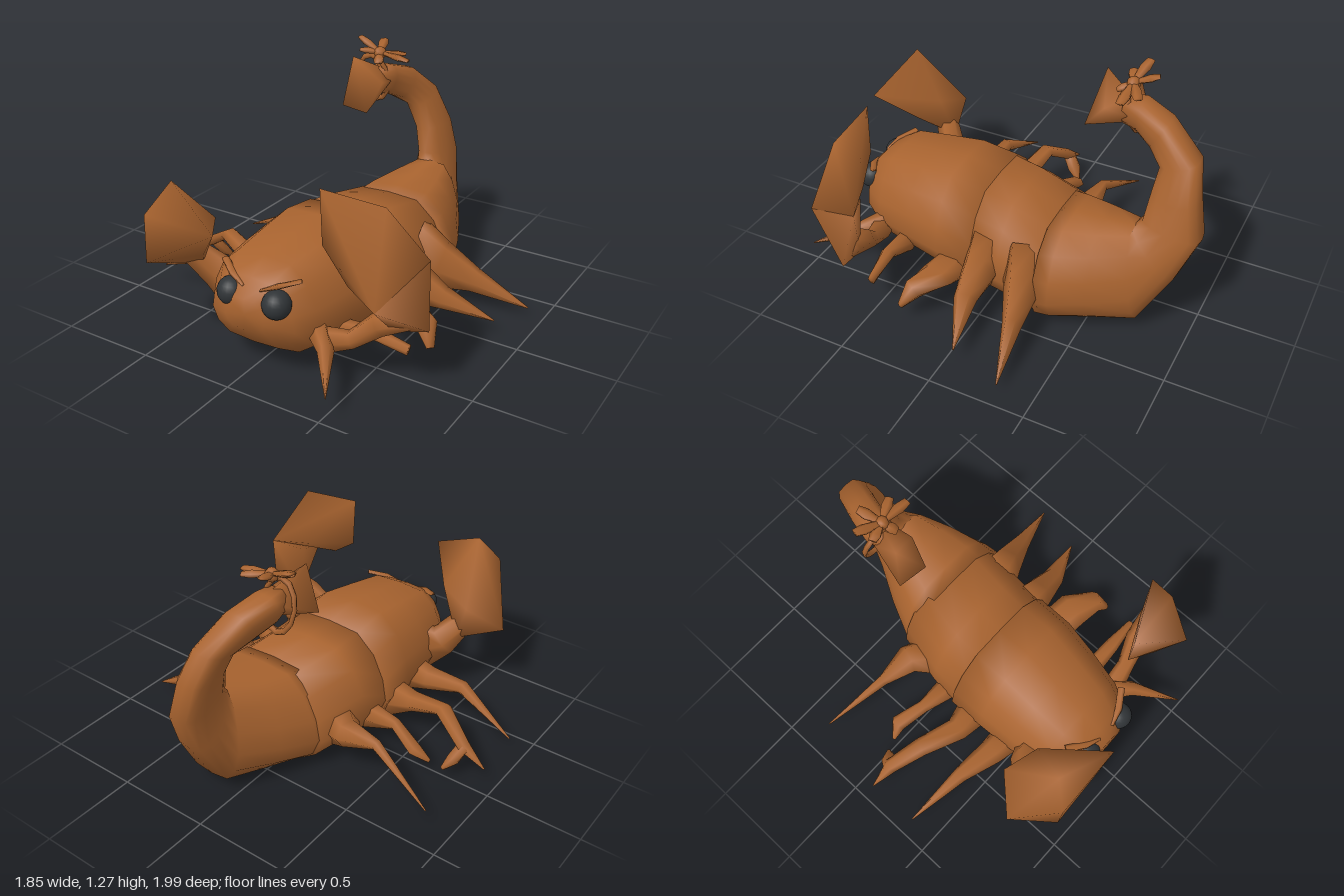
import * as THREE from 'three';
import { mergeVertices } from 'three/addons/utils/BufferGeometryUtils.js';
import { ConvexGeometry } from 'three/addons/geometries/ConvexGeometry.js';

const V = (a) => new THREE.Vector3(...a);

// Skin a closed surface over rings { p, side, up, w, h }; profile runs counter-clockwise
function loft(rings, profile) {
  const n = profile.length, pos = [], idx = [];
  for (const r of rings)
    for (const [u, v] of profile)
      pos.push(...r.p.clone().addScaledVector(r.side, u * r.w).addScaledVector(r.up, v * r.h).toArray());
  for (let i = 0; i < rings.length - 1; i++)
    for (let j = 0; j < n; j++) {
      const a = i * n + j, b = i * n + (j + 1) % n, c = a + n, d = b + n;
      idx.push(a, c, b, b, c, d);
    }
  const last = rings.length - 1, s = rings.length * n;
  pos.push(...rings[0].p.toArray(), ...rings[last].p.toArray());
  for (let j = 0; j < n; j++) {
    const k = (j + 1) % n;
    idx.push(s, j, k, s + 1, last * n + k, last * n + j);
  }
  const g = new THREE.BufferGeometry();
  g.setAttribute('position', new THREE.Float32BufferAttribute(pos, 3));
  g.setIndex(idx);
  g.computeVertexNormals();
  return g;
}

const circle = (n) => Array.from({ length: n }, (_, i) => [Math.cos(i / n * Math.PI * 2), Math.sin(i / n * Math.PI * 2)]);

// Shell outline: narrow flat top, widest below the middle
const half = [[0.6, -0.95], [0.88, -0.68], [1, -0.3], [0.94, 0.15], [0.77, 0.62], [0.48, 0.96]];
const shellProfile = [...half, [0, 1], ...half.slice().reverse().map(([u, v]) => [-u, v]), [0, -1]];

// Upright body section from left, right, bottom and top limits
const section = ([z, x0, x1, y0, y1]) => ({
  p: V([(x0 + x1) / 2, (y0 + y1) / 2, z]), side: V([1, 0, 0]), up: V([0, 1, 0]), w: (x1 - x0) / 2, h: (y1 - y0) / 2,
});

// Section that turns with the tail, tilt in degrees
const tilted = ([x, y, z, w, h, deg]) => {
  const a = deg * Math.PI / 180;
  return { p: V([x, y, z]), side: V([1, 0, 0]), up: V([0, Math.cos(a), Math.sin(a)]), w, h };
};

// Tapered limb along points [x, y, z, halfWidth, halfHeight]
function limb(points, sides = 6) {
  const ps = points.map((q) => V(q.slice(0, 3)));
  const rings = points.map((q, i) => {
    const t = ps[Math.min(i + 1, ps.length - 1)].clone().sub(ps[Math.max(i - 1, 0)]).normalize();
    const side = t.clone().cross(V([0, 1, 0])).normalize();
    return { p: ps[i], side, up: side.clone().cross(t), w: q[3], h: q[4] };
  });
  return loft(rings, circle(sides));
}

// Smooth-shaded hull for the pincers and tail tip
function hull(points) {
  const g = new ConvexGeometry(points.map(V));
  g.deleteAttribute('normal');
  const m = mergeVertices(g, 1e-4);
  m.computeVertexNormals();
  return m;
}

export function createModel() {
  const model = new THREE.Group();
  const brown = new THREE.MeshStandardMaterial({ color: 0xa8632f });
  brown.name = 'shell brown';
  const black = new THREE.MeshStandardMaterial({ color: 0x303437 });
  black.name = 'eye black';
  const add = (name, geometry, material = brown) => {
    const m = new THREE.Mesh(geometry, material);
    m.name = name;
    model.add(m);
    return m;
  };

  // Head and front shell
  add('headShell', loft([
    [0.88, -0.09, 0.13, 0.26, 0.42], [0.81, -0.22, 0.25, 0.16, 0.5], [0.7, -0.3, 0.32, 0.09, 0.56],
    [0.5, -0.32, 0.37, 0.08, 0.59], [0.3, -0.33, 0.41, 0.055, 0.62], [0.1, -0.33, 0.42, 0.03, 0.595],
  ].map(section), shellProfile));
  add('middleShell', loft([
    [0.14, -0.32, 0.41, 0.04, 0.595], [-0.06, -0.3, 0.43, 0.02, 0.57], [-0.34, -0.23, 0.47, 0.01, 0.53],
  ].map(section), shellProfile));

  // Rear shell narrowing to one side, flowing into the raised tail
  add('rearShellAndTail', loft([
    [0.125, 0.275, -0.28, 0.355, 0.265, 0], [0.13, 0.28, -0.36, 0.34, 0.27, 0], [0.14, 0.305, -0.53, 0.27, 0.262, 2],
    [0.15, 0.335, -0.715, 0.17, 0.257, 8], [0.13, 0.47, -0.79, 0.115, 0.165, 45], [0.1, 0.6, -0.85, 0.085, 0.15, 83],
    [0.07, 0.76, -0.84, 0.085, 0.12, 92], [0, 0.91, -0.825, 0.08, 0.1, 110],
    [-0.06, 1.01, -0.7, 0.082, 0.09, 150], [-0.1, 1.055, -0.58, 0.08, 0.08, 170], [-0.1, 1.06, -0.5, 0.06, 0.07, 178],
  ].map(tilted), shellProfile));
  add('tailTip', hull([
    [-0.17, 1.06, -0.53], [-0.03, 1.06, -0.53], [-0.1, 1.13, -0.53], [-0.1, 0.99, -0.53],
    [-0.17, 1.215, -0.37], [-0.21, 0.95, -0.33], [-0.05, 0.94, -0.31], [-0.02, 1.08, -0.42],
  ]));

  // Ribbon wrapped round the tail, with bow loops and loose ends
  const band = add('ribbonBand', new THREE.TorusGeometry(0.12, 0.015, 5, 12));
  band.position.set(-0.14, 1.065, -0.535);
  band.rotation.x = 0.2;
  band.scale.set(0.75, 1.1, 1);
  const knot = add('bowKnot', new THREE.SphereGeometry(0.035, 8, 6));
  knot.position.set(-0.1, 1.205, -0.53);
  const bowEnds = [[-0.24, 1.27, -0.56], [0.07, 1.185, -0.53], [-0.2, 1.22, -0.49], [0.02, 1.2, -0.6], [-0.14, 1.25, -0.645], [-0.07, 1.17, -0.46]];
  for (const [x, y, z] of bowEnds)
    add('bowLoop', limb([
      [-0.1, 1.21, -0.53, 0.015, 0.01],
      [-0.1 + (x + 0.1) * 0.65, 1.21 + (y - 1.21) * 0.65, -0.53 + (z + 0.53) * 0.65, 0.03, 0.016],
      [x, y, z, 0.022, 0.008],
    ], 5));

  // Eyes and angry brows
  for (const s of [-1, 1]) {
    const cx = 0.038 + s * 0.127;
    add('eye', new THREE.SphereGeometry(0.07, 20, 14), black).position.set(cx, 0.41, 0.825);
    add('brow', limb([
      [cx - s * 0.08, 0.465, 0.84, 0.008, 0.006], [cx, 0.495, 0.81, 0.02, 0.012], [cx + s * 0.09, 0.52, 0.75, 0.02, 0.008],
    ], 5));
  }

  // Pincers and their arms
  add('rightPincer', hull([
    [-0.39, 0.9, 0.85], [-0.08, 0.74, 0.95], [-0.47, 0.75, 0.96], [-0.63, 0.45, 0.76], [-0.48, 0.5, 0.96],
    [-0.27, 0.53, 0.8], [-0.3, 0.66, 0.66], [-0.48, 0.6, 0.6], [-0.41, 0.38, 0.64],
  ]));
  add('rightArm', limb([[-0.22, 0.29, 0.6, 0.1, 0.15], [-0.34, 0.35, 0.62, 0.07, 0.09], [-0.44, 0.5, 0.72, 0.06, 0.06]]));
  add('leftPincer', hull([
    [0.32, 0.97, 0.7], [0.64, 0.95, 0.68], [0.77, 0.66, 0.51], [0.68, 0.53, 0.84], [0.5, 0.57, 0.76],
    [0.33, 0.7, 0.7], [0.57, 0.67, 0.59],
  ]));
  add('leftForearm', hull([
    [0.77, 0.66, 0.51], [0.68, 0.53, 0.84], [0.6, 0.62, 0.59], [0.81, 0.35, 0.58], [0.64, 0.31, 0.6], [0.66, 0.4, 0.7],
  ]));
  add('leftArm', limb([
    [0.3, 0.2, 0.69, 0.06, 0.07], [0.46, 0.24, 0.66, 0.045, 0.045], [0.58, 0.34, 0.62, 0.06, 0.06], [0.72, 0.4, 0.6, 0.06, 0.05],
  ]));

  // Walking legs, each a tapered bent limb
  const rightLegs = [
    [[-0.25, 0.2, 0.45, 0.09, 0.1], [-0.39, 0.21, 0.44, 0.07, 0.06], [-0.6, 0.26, 0.41, 0.04, 0.035], [-0.92, 0.1, 0.36, 0.004, 0.004]],
    [[-0.25, 0.18, 0.21, 0.1, 0.13], [-0.42, 0.2, 0.22, 0.065, 0.05], [-0.63, 0.28, 0.16, 0.05, 0.03], [-0.8, 0.17, 0.09, 0.04, 0.03], [-0.93, 0.09, 0.08, 0.004, 0.004]],
    [[-0.8, 0.17, 0.09, 0.04, 0.03], [-0.77, 0.1, 0.04, 0.04, 0.03], [-0.735, 0.05, 0, 0.012, 0.01]],
    [[-0.25, 0.17, 0.02, 0.07, 0.08], [-0.45, 0.2, 0, 0.035, 0.03], [-0.6, 0.14, -0.05, 0.045, 0.03], [-0.67, 0.08, -0.02, 0.01, 0.01]],
    [[-0.18, 0.19, -0.15, 0.12, 0.13], [-0.32, 0.23, -0.24, 0.08, 0.07], [-0.5, 0.25, -0.25, 0.03, 0.03], [-0.85, 0.08, -0.34, 0.004, 0.004]],
  ];
  const leftLegs = [
    [[0.26, 0.24, 0.65, 0.06, 0.07], [0.39, 0.21, 0.77, 0.04, 0.045], [0.53, 0.14, 0.99, 0.003, 0.003]],
    [[0.3, 0.17, 0.53, 0.05, 0.07], [0.5, 0.22, 0.53, 0.04, 0.03], [0.68, 0.18, 0.52, 0.02, 0.03]],
    [[0.35, 0.17, 0.21, 0.1, 0.09], [0.52, 0.2, 0.23, 0.1, 0.05], [0.65, 0.19, 0.29, 0.06, 0.05], [0.7, 0.1, 0.34, 0.02, 0.015]],
    [[0.3, 0.27, 0.04, 0.11, 0.2], [0.44, 0.24, 0.03, 0.09, 0.12], [0.6, 0.19, 0.02, 0.06, 0.06], [0.85, 0.1, -0.05, 0.004, 0.004]],
    [[0.32, 0.27, -0.18, 0.12, 0.22], [0.46, 0.23, -0.22, 0.09, 0.14], [0.64, 0.17, -0.26, 0.05, 0.07], [0.92, 0.06, -0.32, 0.004, 0.004]],
  ];
  for (const leg of rightLegs) add('rightLeg', limb(leg));
  for (const leg of leftLegs) add('leftLeg', limb(leg));

  return model;
}
